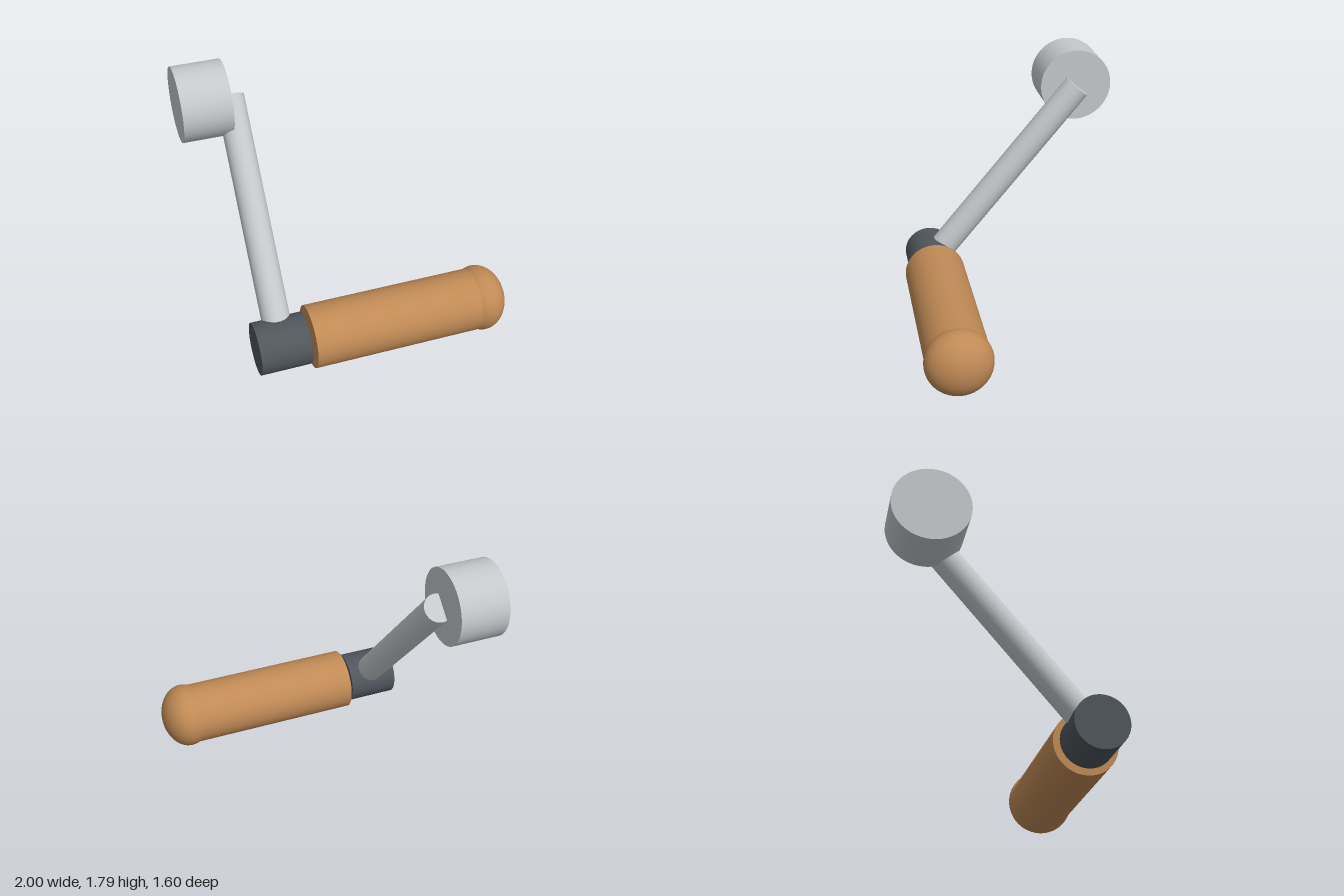
import * as THREE from 'three';

const paint = (color) => new THREE.MeshStandardMaterial({ color });
const steel = paint(0xc4c8cb);
const darkSteel = paint(0x50565c);
const wood = paint(0xc08a55);

const HUB_Y = 1.54, HUB_Z = -0.54;    // upper pivot axis
const GRIP_Y = 0.235, GRIP_Z = 0.567; // handle axis
const ARM_X = -0.63;

export function createModel() {
  const crank = new THREE.Group();
  crank.name = 'handCrank';

  const add = (name, geometry, material, x, y, z) => {
    const mesh = new THREE.Mesh(geometry, material);
    mesh.name = name;
    mesh.position.set(x, y, z);
    crank.add(mesh);
    return mesh;
  };

  // Cylinder lying along x, between x0 and x1
  const barrel = (name, radius, x0, x1, y, z, material) => {
    const geometry = new THREE.CylinderGeometry(radius, radius, x1 - x0, 48);
    geometry.rotateZ(-Math.PI / 2);
    return add(name, geometry, material, (x0 + x1) / 2, y, z);
  };

  barrel('hub', 0.26, -1, -0.66, HUB_Y, HUB_Z, steel);
  barrel('collar', 0.18, -0.805, -0.455, GRIP_Y, GRIP_Z, darkSteel);
  barrel('grip', 0.218, -0.43, 0.8, GRIP_Y, GRIP_Z, wood);

  // Flattened knob closing the outer end of the grip
  const knob = new THREE.SphereGeometry(0.23, 48, 32);
  knob.rotateZ(-Math.PI / 2);
  knob.scale(0.77, 1, 1);
  add('gripKnob', knob, wood, 0.82, GRIP_Y, GRIP_Z);

  // Slanted arm from the collar centre to the hub centre
  const from = new THREE.Vector3(ARM_X, GRIP_Y, GRIP_Z);
  const to = new THREE.Vector3(ARM_X, HUB_Y, HUB_Z);
  const span = to.clone().sub(from);
  const arm = add('arm', new THREE.CylinderGeometry(0.098, 0.098, span.length(), 32), steel,
    ARM_X, (from.y + to.y) / 2, (from.z + to.z) / 2);
  arm.quaternion.setFromUnitVectors(new THREE.Vector3(0, 1, 0), span.normalize());

  return crank;
}
